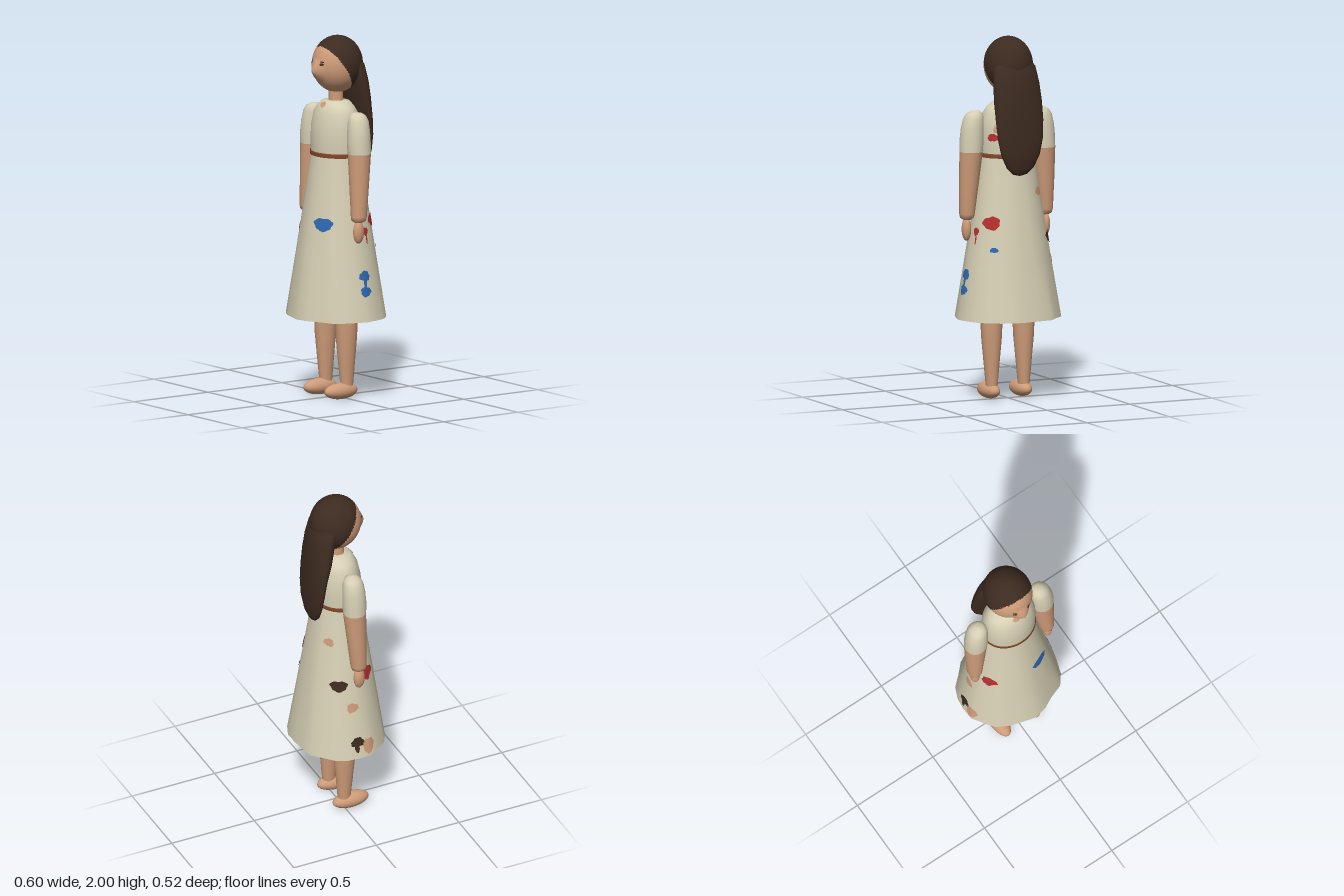
import * as THREE from 'three';

const mat = (name, color) => new THREE.MeshStandardMaterial({ name, color, side: THREE.DoubleSide });
const lerp = THREE.MathUtils.lerp;
const rad = THREE.MathUtils.degToRad;

// Fold depth of the skirt hem, every 15 degrees from +z towards +x
const hemFolds = [1.03, 1, 0.96, 1.03, 1.01, 0.98, 1.01, 0.995, 1.02, 1.025, 1.03, 1.045,
  1, 1, 1.06, 1, 1.03, 1.02, 1.01, 1.03, 0.995, 1.02, 1, 0.985];

function hem(angle) {
  const t = THREE.MathUtils.euclideanModulo(angle / (Math.PI * 2) * 24, 24);
  const i = Math.floor(t) % 24;
  return lerp(hemFolds[i], hemFolds[(i + 1) % 24], t - Math.floor(t));
}

// Point on a cross-section [y, cx, cz, rx, rz, fold]
function ringPoint([y, cx, cz, rx, rz, fold = 0], angle, off = 0) {
  const m = 1 + fold * (hem(angle) - 1);
  return [cx + (rx * m + off) * Math.sin(angle), y, cz + (rz * m + off) * Math.cos(angle)];
}

// Cross-section at any height, interpolated (sections run from top to bottom)
function sectionAt(sections, y) {
  let i = 0;
  while (i < sections.length - 2 && sections[i + 1][0] > y) i++;
  const a = sections[i], b = sections[i + 1];
  const t = (a[0] - y) / (a[0] - b[0]);
  return a.map((v, k) => lerp(v, b[k], t));
}

// Closed tube-like grid, rows from top to bottom
function grid(rows, cols, point) {
  const pos = [], index = [];
  for (let i = 0; i <= rows; i++) {
    for (let j = 0; j < cols; j++) {
      pos.push(...point(i, j / cols * Math.PI * 2));
      if (i === rows) continue;
      const k = (j + 1) % cols;
      const a = i * cols + j, b = i * cols + k, c = a + cols, d = b + cols;
      index.push(a, c, d, a, d, b);
    }
  }
  const g = new THREE.BufferGeometry();
  g.setAttribute('position', new THREE.Float32BufferAttribute(pos, 3));
  g.setIndex(index);
  g.computeVertexNormals();
  return g;
}

const loft = (sections, cols = 32) => grid(sections.length - 1, cols, (i, a) => ringPoint(sections[i], a));

// Irregular filled blob, mapped onto a surface by place(u, v)
function blob(place, seed, wobble = 1) {
  const n = 28, pos = [...place(0, 0)], index = [];
  for (let r = 1; r <= 3; r++) {
    for (let j = 0; j < n; j++) {
      const a = j / n * Math.PI * 2;
      const s = r / 3 * (1 + wobble * (0.09 * Math.sin(3 * a + seed) + 0.06 * Math.sin(7 * a + seed * 2)));
      pos.push(...place(Math.cos(a) * s, Math.sin(a) * s));
      const k = (j + 1) % n, o = 1 + (r - 1) * n, p = o - n;
      if (r === 1) index.push(0, o + j, o + k);
      else index.push(p + j, o + j, o + k, p + j, o + k, p + k);
    }
  }
  const g = new THREE.BufferGeometry();
  g.setAttribute('position', new THREE.Float32BufferAttribute(pos, 3));
  g.setIndex(index);
  g.computeVertexNormals();
  return g;
}

// Head surface: an egg whose front is drawn out to a pointed nose
function headPoint(nx, ny, nz, off = 0) {
  const t = nx / Math.max(0.001, Math.hypot(nx, nz));
  const point = 0.82 + 0.18 * Math.max(0, 1 - 2.2 * Math.hypot(t, ny + 0.2));
  const depth = nz > 0 ? lerp(0.143, 0.176 * point, Math.min(1, nz * 4)) : 0.143;
  return [0.133 * nx, 1.843 + 0.157 * ny, -0.01 + depth * nz + off];
}

export function createModel() {
  const model = new THREE.Group();
  const skin = mat('skin', 0xcd9b78), hair = mat('dark brown hair', 0x3d2b20);
  const cloth = mat('cream cloth', 0xd6cfb4), leather = mat('brown belt', 0x82492b);
  const red = mat('red paint', 0xb5302f), blue = mat('blue paint', 0x2f68b2);

  const add = (name, geometry, material, parent = model) => {
    const m = new THREE.Mesh(geometry, material);
    m.name = name;
    parent.add(m);
    return m;
  };
  const ellipsoid = (name, material, c, r, parent) => {
    const m = add(name, new THREE.SphereGeometry(1, 28, 18), material, parent);
    m.position.set(...c);
    m.scale.set(...r);
  };

  // Dress
  const bodice = [[1.645, 0, 0, 0.04, 0.035], [1.64, 0, 0, 0.085, 0.07], [1.615, 0, 0, 0.118, 0.088],
    [1.58, 0, 0, 0.143, 0.107], [1.5, 0, 0, 0.155, 0.125], [1.42, 0, 0, 0.157, 0.128], [1.34, 0, 0, 0.153, 0.126]];
  const skirt = [[1.345, 0, 0, 0.153, 0.126, 0], [1.1, 0, 0, 0.189, 0.161, 0.28],
    [0.78, 0, 0, 0.241, 0.207, 0.63], [0.45, 0, 0, 0.295, 0.255, 1]];
  add('bodice', loft(bodice, 40), cloth);
  add('skirt', loft(skirt, 24), cloth);
  add('belt', loft([[1.364, 0, 0, 0.155, 0.128], [1.363, 0, 0, 0.158, 0.131],
    [1.341, 0, 0, 0.158, 0.131], [1.34, 0, 0, 0.154, 0.127]], 40), leather);

  // Paint marks: [name, colour, surface, angle, y, half width, half height]
  const marks = [
    ['blueFrontMark', blue, skirt, 28, 0.98, 0.058, 0.036],
    ['redFrontMark', red, skirt, -61, 0.935, 0.045, 0.036],
    ['redFrontDrip', red, skirt, -61, 0.9, 0.014, 0.016],
    ['redBackMark', red, skirt, 132, 0.99, 0.05, 0.036],
    ['redSideMark', red, skirt, 104, 0.938, 0.02, 0.022],
    ['redSideDrip', red, skirt, 105, 0.9, 0.005, 0.035],
    ['blueUpperMark', blue, skirt, 92, 0.7, 0.034, 0.028],
    ['blueLinkMark', blue, skirt, 92, 0.66, 0.01, 0.04],
    ['blueLowerMark', blue, skirt, 92, 0.615, 0.034, 0.027],
    ['blueBackMark', blue, skirt, 139, 0.845, 0.023, 0.014],
    ['tanBackMark', skin, skirt, -135, 1.15, 0.03, 0.024],
    ['darkBackMark', hair, skirt, -116, 0.895, 0.048, 0.032],
    ['tanSideMark', skin, skirt, -96, 0.76, 0.032, 0.028],
    ['darkHemMark', hair, skirt, -92, 0.55, 0.038, 0.028],
    ['darkHemDrip', hair, skirt, -93, 0.52, 0.014, 0.032],
    ['tanHemMark', skin, skirt, -77, 0.515, 0.036, 0.045],
    ['redBodiceMark', red, bodice, 128, 1.455, 0.034, 0.02],
    ['tanBodiceMark', skin, bodice, 133, 1.5, 0.01, 0.022],
    ['necklineNotch', skin, bodice, -2, 1.625, 0.022, 0.015],
  ];
  marks.forEach(([name, material, surface, deg, y, w, h], n) => {
    const a = rad(deg), s = sectionAt(surface, y);
    const turn = w / Math.hypot(s[3] * Math.cos(a), s[4] * Math.sin(a));
    // Skirt marks soak through to the inside
    for (const off of surface === skirt ? [0.003, -0.005] : [0.004]) {
      add(name, blob((u, v) => {
        const py = y + v * h;
        return ringPoint(sectionAt(surface, py), a + u * turn, off);
      }, n * 1.7), material);
    }
  });

  // Head, with the hair cap split off along a sloping hairline
  const head = grid(64, 80, (i, a) => {
    const p = i / 64 * Math.PI;
    return headPoint(Math.sin(p) * Math.sin(a), Math.cos(p), Math.sin(p) * Math.cos(a));
  });
  const faceTris = [], hairTris = [], P = head.attributes.position, I = head.index.array;
  for (let k = 0; k < I.length; k += 3) {
    const tri = [I[k], I[k + 1], I[k + 2]];
    const mid = get => tri.reduce((s, v) => s + get(v), 0) / 3;
    const y = mid(v => P.getY(v)), z = mid(v => P.getZ(v));
    const line = Math.max(-0.05, 0.1 - (1.95 - y) * 0.65);
    (z < line ? hairTris : faceTris).push(...tri);
  }
  head.setIndex([...faceTris, ...hairTris]);
  head.addGroup(0, faceTris.length, 0);
  head.addGroup(faceTris.length, hairTris.length, 1);
  add('head', head, [skin, hair]);
  add('neck', loft([[1.74, 0, 0, 0.042, 0.04], [1.66, 0, 0, 0.042, 0.039], [1.6, 0, 0, 0.048, 0.045]]), skin);

  // Long hair hanging down the back
  add('longHair', loft([[1.93, 0, -0.05, 0, 0], [1.9, 0, -0.065, 0.08, 0.05], [1.84, -0.002, -0.085, 0.122, 0.066],
    [1.75, -0.003, -0.105, 0.136, 0.064], [1.65, -0.005, -0.122, 0.142, 0.06], [1.55, -0.006, -0.14, 0.142, 0.046],
    [1.45, -0.006, -0.151, 0.135, 0.04], [1.36, -0.005, -0.155, 0.115, 0.035], [1.29, -0.004, -0.153, 0.08, 0.028],
    [1.255, -0.003, -0.149, 0.042, 0.018], [1.245, -0.003, -0.148, 0, 0]], 32), hair);

  for (const [side, s] of [['left', 1], ['right', -1]]) {
    // Eye and brow
    const onFace = (x, y, w, h) => (u, v) => {
      const nx = (s * x + u * w) / 0.133, ny = (y + v * h - 1.843) / 0.157;
      return headPoint(nx, ny, Math.sqrt(1 - nx * nx - ny * ny), 0.003);
    };
    add(side + 'Eye', blob(onFace(0.045, 1.857, 0.011, 0.007), 1, 0.5), hair);
    add(side + 'Brow', blob(onFace(0.045, 1.87, 0.013, 0.003), 2, 0.3), hair);

    // Arm: sleeve, forearm, hand
    const arm = new THREE.Group();
    arm.name = side + 'Arm';
    model.add(arm);
    const limb = rows => loft(rows.map(([y, x, z, rx, rz = rx]) => [y, s * x, z, rx, rz]), 24);
    add('sleeve', limb([[1.6, 0.195, 0, 0], [1.597, 0.196, 0, 0.025], [1.585, 0.2, 0, 0.045],
      [1.555, 0.207, 0, 0.057], [1.5, 0.213, 0.002, 0.063], [1.44, 0.216, 0.003, 0.066],
      [1.375, 0.22, 0.002, 0.064]]), cloth, arm);
    add('forearm', limb([[1.375, 0.22, 0.002, 0.064], [1.2, 0.229, 0.01, 0.054], [1.03, 0.237, 0.018, 0.042, 0.045],
      [1.008, 0.237, 0.019, 0.037, 0.04], [0.998, 0.237, 0.019, 0.022], [0.995, 0.237, 0.019, 0]]), skin, arm);
    ellipsoid('hand', skin, [s * 0.239, 0.945, 0.021], [0.025, 0.065, 0.032], arm);

    // Leg and foot
    const leg = new THREE.Group();
    leg.name = side + 'Leg';
    model.add(leg);
    add('shin', limb([[1, 0.085, 0, 0], [0.98, 0.085, 0, 0.06], [0.75, 0.092, 0, 0.07], [0.45, 0.097, 0, 0.061, 0.064],
      [0.34, 0.097, 0, 0.056, 0.06], [0.2, 0.097, -0.001, 0.043, 0.048], [0.1, 0.097, -0.002, 0.034, 0.039],
      [0.05, 0.097, -0.002, 0.03, 0.035]]), skin, leg);
    ellipsoid('foot', skin, [s * 0.097, 0.045, 0.037], [0.048, 0.045, 0.107], leg);
  }
  return model;
}
